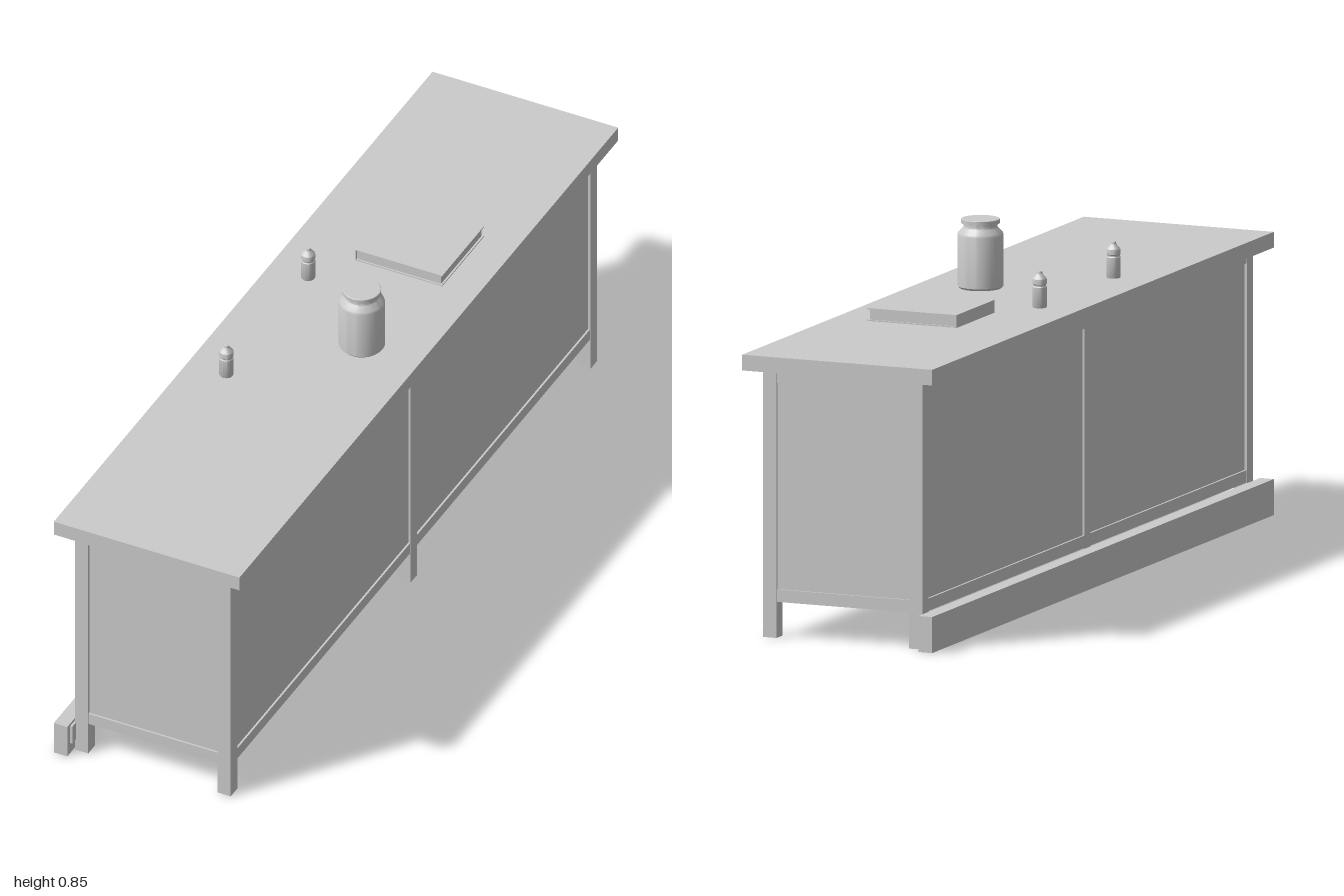
import * as THREE from 'three';
import { toCreasedNormals } from 'three/addons/utils/BufferGeometryUtils.js';

const material = new THREE.MeshStandardMaterial({ color: 0xcccccc });

// Box given by its minimum and maximum along each axis
function box(parent, name, [x0, x1], [y0, y1], [z0, z1]) {
  const mesh = new THREE.Mesh(new THREE.BoxGeometry(x1 - x0, y1 - y0, z1 - z0), material);
  mesh.position.set((x0 + x1) / 2, (y0 + y1) / 2, (z0 + z1) / 2);
  mesh.name = name;
  parent.add(mesh);
  return mesh;
}

// Turned shape with crisp edges, standing on the worktop
function turned(parent, name, profile, x, z, segments) {
  const points = profile.map(([r, y]) => new THREE.Vector2(r, y));
  const geometry = toCreasedNormals(new THREE.LatheGeometry(points, segments), 0.6);
  const mesh = new THREE.Mesh(geometry, material);
  mesh.position.set(x, TOP, z);
  mesh.name = name;
  parent.add(mesh);
}

const TOP = 0.684;      // worktop surface
const UNDER = 0.646;    // underside of worktop
const FLOOR = 0.087;    // bottom of the cabinet frame
const HX = 0.207, HZ = 0.967;
const POST = 0.035;
const RAIL = 0.03;

export function createModel() {
  const model = new THREE.Group();
  model.name = 'barCounter';

  box(model, 'worktop', [-0.247, 0.247], [UNDER, TOP], [-1, 1]);

  // Posts run from the floor to the worktop at the ends and middle
  const cabinet = new THREE.Group();
  cabinet.name = 'cabinet';
  model.add(cabinet);
  for (const s of [-1, 1]) {
    const span = (a, b) => (s > 0 ? [a, b] : [-b, -a]);
    for (const z of [-HZ + POST / 2, 0, HZ - POST / 2]) {
      box(cabinet, 'post', span(HX - POST, HX), [0, UNDER], [z - POST / 2, z + POST / 2]);
    }
    // Rails and recessed panels of the long sides
    for (const [z0, z1] of [[-HZ + POST, -POST / 2], [POST / 2, HZ - POST]]) {
      box(cabinet, 'sidePanel', span(HX - 0.016, HX - 0.006), [FLOOR, UNDER], [z0, z1]);
      for (const y of [FLOOR, UNDER - RAIL]) {
        box(cabinet, 'sideRail', span(HX - 0.02, HX - 0.001), [y, y + RAIL], [z0, z1]);
      }
    }
    // Rails and recessed panel of each end
    const across = [-HX + POST, HX - POST];
    box(cabinet, 'endPanel', across, [FLOOR, UNDER], span(HZ - 0.016, HZ - 0.006));
    for (const y of [FLOOR, UNDER - RAIL]) {
      box(cabinet, 'endRail', across, [y, y + RAIL], span(HZ - 0.02, HZ - 0.001));
    }
  }

  // Foot rail along one long side, with its backing strip
  box(model, 'footRail', [-0.247, -0.211], [0, 0.087], [-1, 1]);
  box(model, 'footRailBacking', [-0.211, -0.205], [0.03, 0.08], [-0.985, 0.985]);

  // Book: two covers, spine and inset pages
  const book = new THREE.Group();
  book.name = 'book';
  model.add(book);
  const bx = [-0.075, 0.157], bz = [-0.47, -0.249];
  box(book, 'lowerCover', bx, [TOP, TOP + 0.003], bz);
  box(book, 'upperCover', bx, [TOP + 0.028, TOP + 0.031], bz);
  box(book, 'spine', [bx[0], bx[0] + 0.003], [TOP + 0.003, TOP + 0.028], bz);
  box(book, 'pages', [bx[0] + 0.003, bx[1] - 0.005], [TOP + 0.003, TOP + 0.028], [bz[0] + 0.004, bz[1] - 0.004]);

  // Lidded jar
  turned(model, 'jar', [
    [0, 0], [0.05, 0], [0.055, 0.005], [0.055, 0.128], [0.053, 0.134], [0.043, 0.144],
    [0.041, 0.147], [0.041, 0.155], [0.046, 0.156], [0.046, 0.166], [0.045, 0.167], [0, 0.167],
  ], 0.091, 0.044, 40);

  // Two small bottles with pointed nozzles
  for (const z of [-0.139, 0.293]) {
    turned(model, 'bottle', [
      [0, 0], [0.016, 0], [0.017, 0.002], [0.017, 0.05], [0.0155, 0.052], [0.0155, 0.055], [0.017, 0.057],
      [0.017, 0.069], [0.015, 0.072], [0.007, 0.081], [0.006, 0.087], [0, 0.088],
    ], -0.144, z, 24);
  }

  return model;
}
